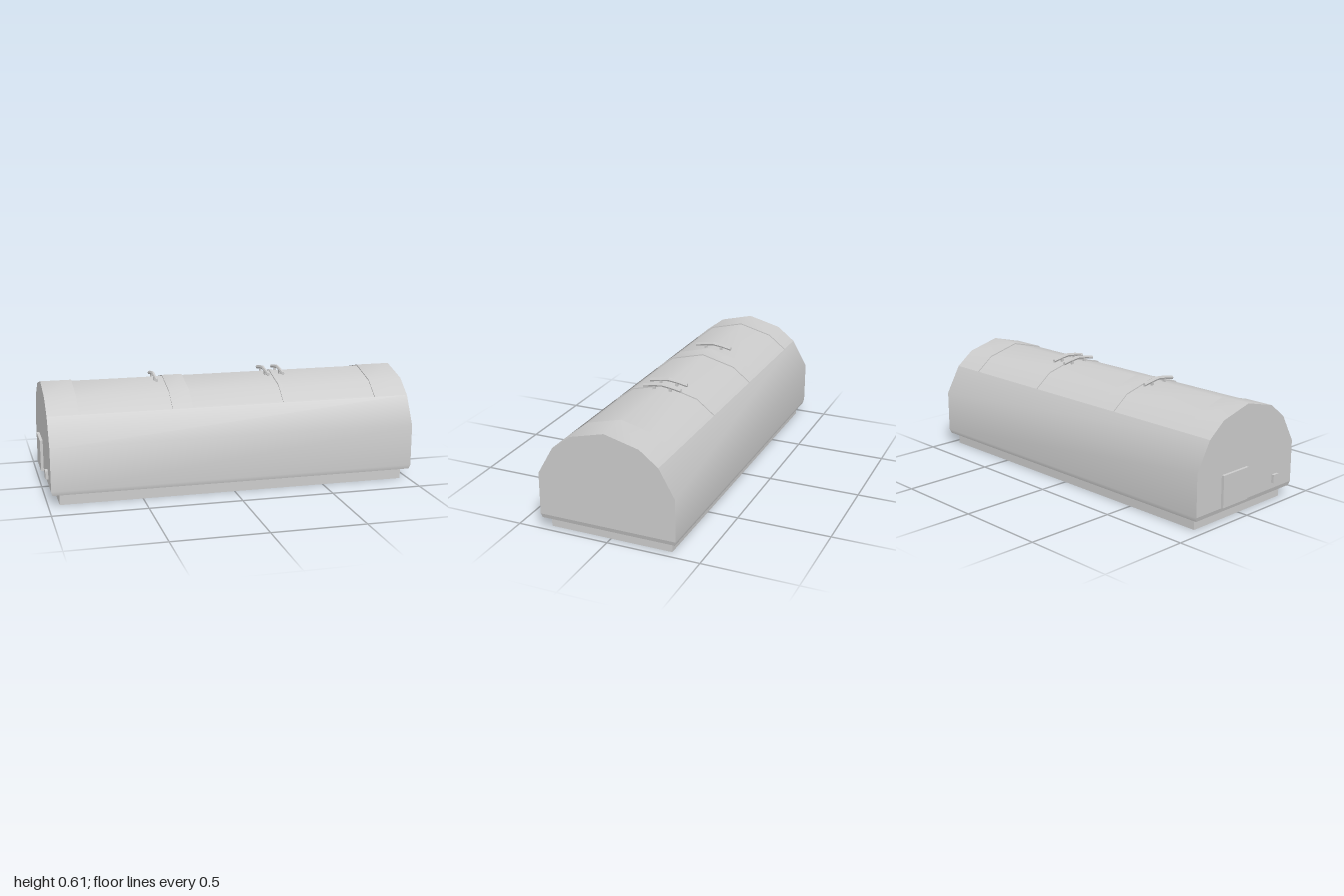
import * as THREE from 'three';

const material = new THREE.MeshStandardMaterial({ color: 0xcccccc, side: THREE.DoubleSide });

// Half cross-section as [z, y], from the bottom edge up to the ridge
const half = [[0.365, 0.062], [0.372, 0.085], [0.372, 0.312], [0.286, 0.463], [0.186, 0.54], [0, 0.588]];
const mirror = (h) => [...h, ...h.slice(0, -1).reverse().map(([z, y]) => [-z, y])];
const profile = mirror(half);
const last = profile.length - 1;
const X0 = -0.985, X1 = 1, SINK = 0.006, CHAMFER = 0.007;

// Smooth strip of skin between profile points i0..i1, from x0 to x1, lowered by drop;
// the bottom row is drawn in at both ends to form the chamfer
function skin(i0, i1, x0, x1, drop = 0) {
  const pos = [], idx = [];
  for (let i = i0; i <= i1; i++) {
    const [z, y] = profile[i];
    const inset = i === 0 || i === last ? CHAMFER : 0;
    pos.push(x0 + inset, y - drop, z, x1 - inset, y - drop, z);
    if (i < i1) {
      const a = (i - i0) * 2;
      idx.push(a, a + 1, a + 3, a, a + 3, a + 2);
    }
  }
  const g = new THREE.BufferGeometry();
  g.setAttribute('position', new THREE.Float32BufferAttribute(pos, 3));
  g.setIndex(idx);
  g.computeVertexNormals();
  return g;
}

// Sloped strip under an end wall, on the +x (dir 1) or -x (dir -1) side
function endChamfer(x, dir) {
  const [[zl, yl], [zu, yu]] = half;
  const g = new THREE.BufferGeometry().setFromPoints([
    [x - dir * CHAMFER, yl, dir * zl], [x - dir * CHAMFER, yl, -dir * zl], [x, yu, -dir * zu], [x, yu, dir * zu],
  ].map((p) => new THREE.Vector3(...p)));
  g.setIndex([0, 1, 2, 0, 2, 3]);
  g.computeVertexNormals();
  return g;
}

// Flat outline across the model, facing +x (dir 1) or -x (dir -1)
function crossFace(points, x, dir) {
  const shape = new THREE.Shape(points.map(([z, y]) => new THREE.Vector2(z, y)));
  return new THREE.ShapeGeometry(shape).rotateY(dir * Math.PI / 2).translate(x, 0, 0);
}

const boxAt = (x0, x1, y0, y1, z0, z1) =>
  new THREE.BoxGeometry(x1 - x0, y1 - y0, z1 - z0).translate((x0 + x1) / 2, (y0 + y1) / 2, (z0 + z1) / 2);

// Corner points of a rectangle, for shapes lying flat
const rect = (x0, x1, z) => [[x0, -z], [x1, -z], [x1, z], [x0, z]].map((p) => new THREE.Vector2(...p));

export function createModel() {
  const model = new THREE.Group();
  const add = (name, geometry) => {
    const mesh = new THREE.Mesh(geometry, material);
    mesh.name = name;
    model.add(mesh);
  };

  // Side walls with their chamfered lower edges, and flat end walls
  add('sideWall', skin(0, 3, X0, X1));
  add('sideWall', skin(last - 3, last, X0, X1));
  for (const [x, dir] of [[X0, -1], [X1, 1]]) {
    add('endWall', crossFace(profile.slice(1, -1), x, dir));
    add('endLowerEdge', endChamfer(x, dir));
  }

  // Raised roof bands, with small steps down to the sunken panels
  const roof = profile.slice(3, last - 2);
  const step = [...roof, ...roof.map(([z, y]) => [z, y - SINK]).reverse()];
  for (const [a, b] of [[X0, -0.82], [-0.325, -0.215], [0.285, 0.305], [0.81, X1]]) {
    add('roofBand', skin(3, last - 3, a, b));
    if (a > X0) add('roofStep', crossFace(step, a, -1));
    if (b < X1) add('roofStep', crossFace(step, b, 1));
  }

  // Inner blocks, whose tops are the sunken roof panels
  const inner = mirror([[0.3, 0.1], [0.3, 0.43], ...half.slice(3).map(([z, y]) => [z, y - SINK])]);
  for (const [a, b] of [[-0.82, -0.325], [-0.215, 0.81]]) {
    add('roofPanel', skin(3, last - 3, a, b, SINK));
    add('innerBlockEnd', crossFace(inner, a, -1));
    add('innerBlockEnd', crossFace(inner, b, 1));
    add('innerBlock', boxAt(a, b, 0.1, 0.43, -0.3, 0.3));
  }

  // Underside lip around the open bottom
  const lip = new THREE.Shape(rect(X0 + CHAMFER, X1 - CHAMFER, 0.365));
  lip.holes.push(new THREE.Path(rect(-0.94, 0.955, 0.335).reverse()));
  add('undersideLip', new THREE.ShapeGeometry(lip).rotateX(Math.PI / 2).translate(0, 0.062, 0));

  // Thin base skirt
  const t = 0.003;
  for (const s of [-1, 1]) {
    const z = s * (0.335 - t / 2);
    add('baseSide', boxAt(-0.94, 0.955, 0, 0.062, z - t / 2, z + t / 2));
  }
  add('baseEnd', boxAt(-0.94, -0.94 + t, 0, 0.062, -0.335, 0.335));
  add('baseEnd', boxAt(0.955 - t, 0.955, 0, 0.062, -0.335, 0.335));

  // Door and small hatch through the end wall
  add('door', boxAt(-1, -0.965, 0.09, 0.26, -0.19, 0));
  add('hatch', boxAt(-1, -0.965, 0.117, 0.162, 0.21, 0.25));

  // Curved six-sided roof rails on small feet
  for (const x of [-0.375, 0.25, 0.335]) {
    const rail = new THREE.CylinderGeometry(0.009, 0.009, 0.216, 6, 4, false, Math.PI / 6).toNonIndexed();
    rail.rotateX(Math.PI / 2);
    const p = rail.attributes.position;
    for (let i = 0; i < p.count; i++) {
      const bend = 0.0175 * Math.pow(Math.abs(p.getZ(i)) / 0.108, 1.3);
      p.setXYZ(i, p.getX(i) + x, p.getY(i) * 1.15 + 0.6 - bend, p.getZ(i));
    }
    rail.computeVertexNormals();
    add('roofRail', rail);
    for (const s of [-1, 1]) {
      const z = s * 0.046;
      add('railFoot', boxAt(x - 0.006, x + 0.006, 0.565, 0.592, z - 0.007, z + 0.007));
    }
  }
  return model;
}
